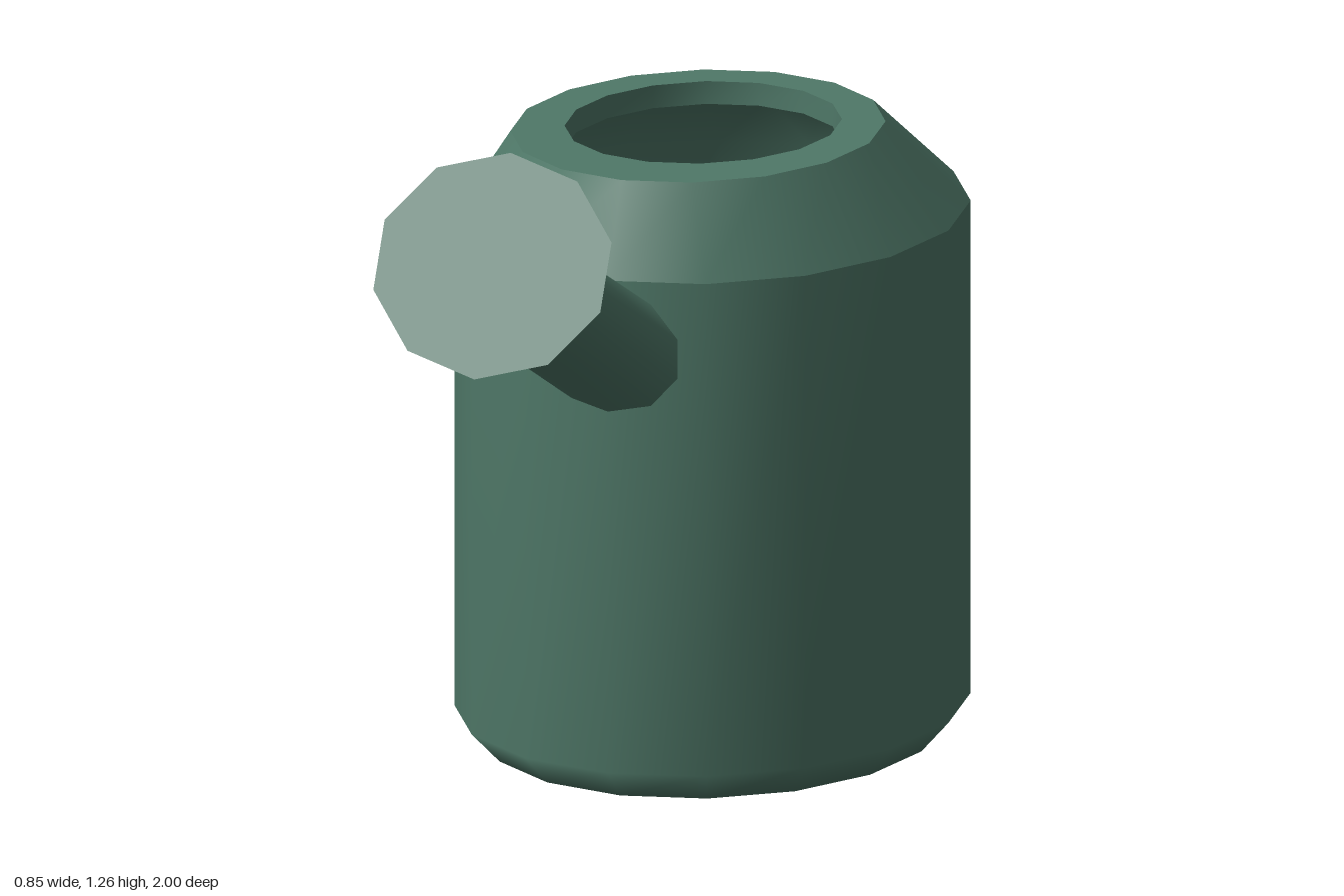
import * as THREE from 'three';

// A ring is [z, y, z, y, halfWidth]: two opposite points in the side plane plus its half width in x.
function loft(rings, sides) {
  const pos = [], index = [];
  for (const [az, ay, bz, by, w] of rings) {
    for (let j = 0; j < sides; j++) {
      const t = (j / sides) * Math.PI * 2, c = Math.cos(t);
      pos.push(w * Math.sin(t), (ay + by) / 2 + c * (ay - by) / 2, (az + bz) / 2 + c * (az - bz) / 2);
    }
  }
  for (let i = 0; i < rings.length - 1; i++) {
    for (let j = 0; j < sides; j++) {
      const k = (j + 1) % sides;
      const a = i * sides + j, b = i * sides + k, c = b + sides, d = a + sides;
      index.push(a, b, c, a, c, d);
    }
  }
  const g = new THREE.BufferGeometry();
  g.setAttribute('position', new THREE.Float32BufferAttribute(pos, 3));
  g.setIndex(index);
  g.computeVertexNormals();
  return g;
}

// Horizontal ring: height, front z, back z, half width
const level = (y, front, back, w) => [front, y, back, y, w];

export function createModel() {
  const group = new THREE.Group();
  const green = new THREE.MeshStandardMaterial({ color: 0x4f7868, side: THREE.DoubleSide });
  const blue = new THREE.MeshStandardMaterial({ color: 0x0d14c8 });
  const add = (name, rings, sides, material = green) => {
    const mesh = new THREE.Mesh(loft(rings, sides), material);
    mesh.name = name;
    group.add(mesh);
  };

  // Body: each loft is its own smoothing group, so edges between them stay sharp
  const shoulderBase = level(0.92, 0.36, -0.645, 0.427);
  const rimOuter = level(1.08, 0.295, -0.44, 0.31);
  const rimInner = level(1.08, 0.17, -0.365, 0.23);
  const lipBottom = level(1.04, 0.17, -0.365, 0.23);
  const innerTop = level(1.04, 0.26, -0.41, 0.28);
  const innerShoulder = level(0.91, 0.32, -0.605, 0.39);
  const waterEdge = level(0.6, 0.32, -0.605, 0.39);
  add('bodyWall', [
    level(0, -0.142, -0.142, 0),
    level(0, 0.3, -0.585, 0.378),
    level(0.055, 0.36, -0.645, 0.427),
    shoulderBase,
  ], 16);
  add('shoulder', [shoulderBase, rimOuter], 16);
  add('rim', [rimOuter, rimInner], 16);
  add('rimLip', [rimInner, lipBottom], 16);
  add('rimUnderside', [lipBottom, innerTop], 16);
  add('innerWall', [innerTop, innerShoulder, waterEdge], 16);
  add('water', [waterEdge, level(0.6, -0.142, -0.142, 0)], 16, blue);

  // Spout: lower point first, running forward and up
  const neck = [0.87, 0.945, 0.79, 1.13, 0.112];
  const roseEdge = [1.0, 0.912, 0.825, 1.265, 0.216];
  add('spout', [[0.3, 0.66, 0.3, 0.88, 0.122], [0.36, 0.69, 0.36, 0.91, 0.122], neck], 10);
  add('sprinklerHead', [neck, [0.945, 0.912, 0.82, 1.235, 0.2], roseEdge], 10);
  add('sprinklerFace', [roseEdge, [0.912, 1.089, 0.912, 1.089, 0]], 10);

  // Handle: outer point first, then inner point, from top to bottom
  add('handle', [
    [-0.59, 0.89, -0.59, 0.7, 0.097],
    [-0.675, 0.935, -0.675, 0.79, 0.097],
    [-0.77, 0.93, -0.765, 0.795, 0.097],
    [-0.88, 0.885, -0.83, 0.735, 0.097],
    [-0.965, 0.79, -0.862, 0.685, 0.097],
    [-1.0, 0.685, -0.866, 0.645, 0.097],
    [-0.965, 0.55, -0.865, 0.61, 0.097],
    [-0.88, 0.405, -0.797, 0.48, 0.097],
    [-0.765, 0.305, -0.72, 0.42, 0.097],
    [-0.59, 0.21, -0.59, 0.325, 0.097],
  ], 8);

  return group;
}
